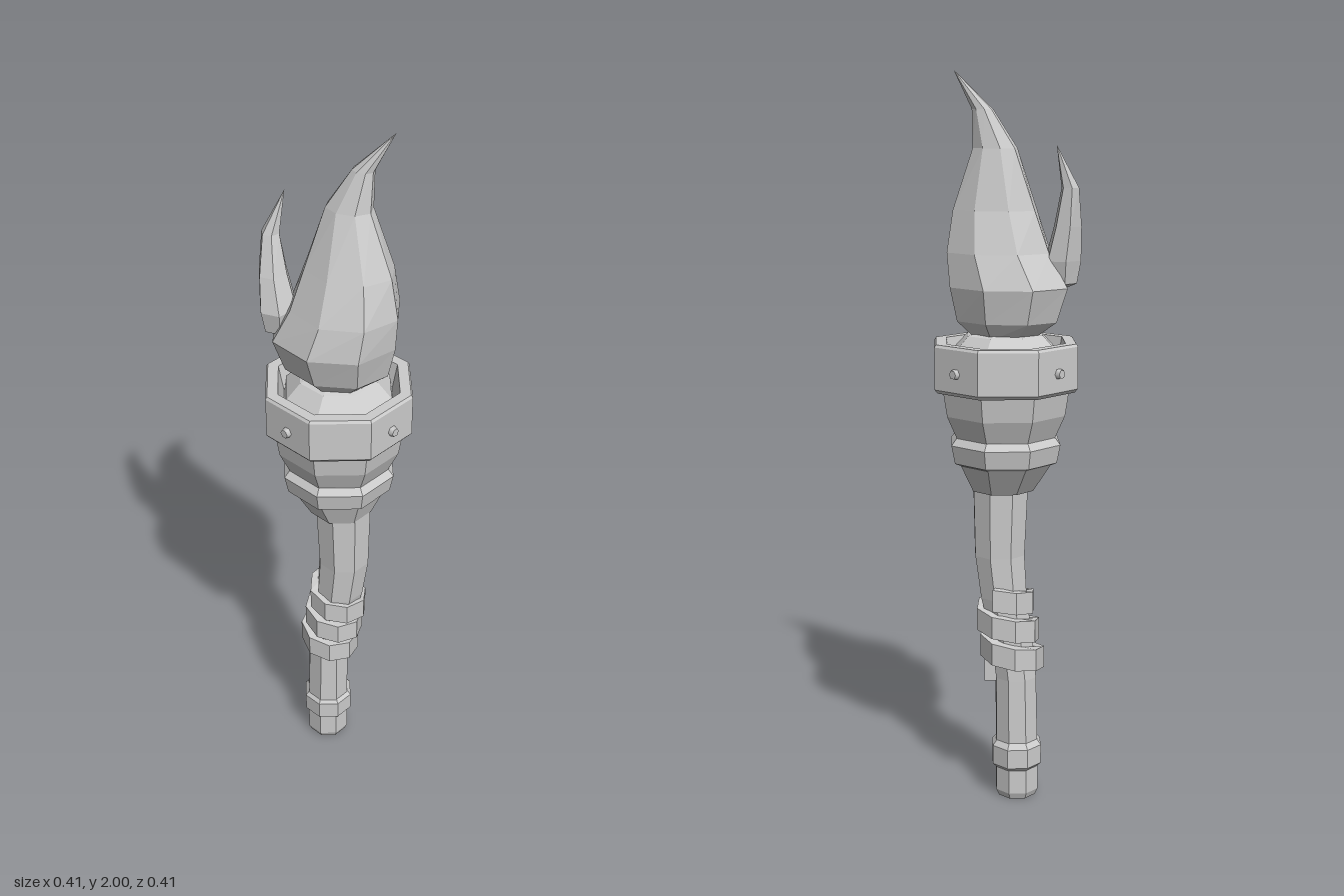
import * as THREE from 'three';

// Skin a list of point rings; a ring whose points coincide closes an end.
function skin(rings) {
  const pos = [];
  const tri = (a, b, c) => {
    const n = b.clone().sub(a).cross(c.clone().sub(a));
    if (n.lengthSq() > 1e-16) for (const p of [a, b, c]) pos.push(p.x, p.y, p.z);
  };
  for (let i = 0; i + 1 < rings.length; i++) {
    const lo = rings[i], hi = rings[i + 1], n = lo.length;
    for (let j = 0; j < n; j++) {
      const k = (j + 1) % n;
      tri(lo[j], hi[j], lo[k]);
      tri(hi[j], hi[k], lo[k]);
    }
  }
  const g = new THREE.BufferGeometry();
  g.setAttribute('position', new THREE.Float32BufferAttribute(pos, 3));
  g.computeVertexNormals();
  return g;
}

// Sections from bottom to top: [y, radiusX, centreX, centreZ, radiusZ, turn]
function loft(sections, sides = 8) {
  return skin(sections.map(([y, rx, cx = 0, cz = 0, rz = rx, turn = 0]) =>
    Array.from({ length: sides }, (_, j) => {
      const a = (j / sides) * Math.PI * 2 + turn;
      return new THREE.Vector3(cx + rx * Math.cos(a), y, cz + rz * Math.sin(a));
    })));
}

// Flat strap wound downwards around the grip
function strapGeometry() {
  const rings = [], turns = 2.8, steps = 23, half = 0.031;
  for (let i = 0; i <= steps; i++) {
    const t = i / steps, a = Math.PI + t * turns * Math.PI * 2;
    const y = 0.588 - t * turns * 0.08, cx = 0.008 - 0.036 * t, cz = 0.006;
    const at = (r, dy) => new THREE.Vector3(cx + r * Math.sin(a), y + dy, cz + r * Math.cos(a));
    const ring = [at(0.086, -half), at(0.086, half), at(0.05, half), at(0.05, -half)];
    const end = () => Array(4).fill(at(0.068, 0));
    if (i === 0) rings.push(end());
    rings.push(ring);
    if (i === steps) rings.push(end());
  }
  return skin(rings);
}

export function createModel() {
  const torch = new THREE.Group();
  torch.name = 'torch';
  const grey = new THREE.MeshStandardMaterial({ color: 0xcccccc });
  grey.name = 'grey';
  const add = (name, geometry) => {
    const m = new THREE.Mesh(geometry, grey);
    m.name = name;
    torch.add(m);
    return m;
  };

  // Bent octagonal grip
  add('handle', loft([
    [0, 0, -0.031, 0.01], [0, 0.055, -0.031, 0.01], [0.018, 0.063, -0.031, 0.01],
    [0.1, 0.063, -0.031, 0.01], [0.35, 0.06, -0.028, 0.01], [0.47, 0.062, -0.014, 0.01],
    [0.58, 0.068, 0.008, 0.01], [0.7, 0.073, 0.02, 0.01], [0.9, 0.08, 0.018, 0.012],
    [0.9, 0, 0.018, 0.012],
  ]));

  // Collar near the foot
  add('footCollar', loft([
    [0.085, 0.06, -0.031, 0.008], [0.098, 0.073, -0.031, 0.008],
    [0.152, 0.073, -0.031, 0.008], [0.17, 0.058, -0.031, 0.008],
  ]));

  add('gripStrap', strapGeometry());

  // Cup with a hollow top
  add('cup', loft([
    [0.885, 0, 0.01, 0.008], [0.885, 0.088, 0.01, 0.008], [0.965, 0.132],
    [1.04, 0.143], [1.1, 0.17], [1.175, 0.182], [1.175, 0],
  ]));
  add('cupBand', loft([
    [0.962, 0.13], [0.97, 0.148], [1.02, 0.158], [1.04, 0.142],
  ]));
  add('rim', loft([
    [1.165, 0.175], [1.165, 0.196], [1.175, 0.205], [1.288, 0.205], [1.295, 0.2],
    [1.295, 0.17], [1.22, 0.155], [1.22, 0],
  ]));

  // Rivets on every other face of the rim
  for (let i = 0; i < 4; i++) {
    const a = Math.PI / 8 + i * Math.PI / 2;
    const g = new THREE.CylinderGeometry(0.012, 0.016, 0.02, 6);
    g.rotateZ(-Math.PI / 2);
    const rivet = add('rivet', g);
    rivet.position.set(0.192 * Math.cos(a), 1.225, 0.192 * Math.sin(a));
    rivet.rotation.y = -a;
  }

  // Bed under the fire
  add('emberBed', loft([
    [1.215, 0.155], [1.27, 0.148], [1.312, 0.108], [1.325, 0.06], [1.325, 0],
  ]));

  // Main flame, leaning towards +x at its tip
  add('mainFlame', loft([
    [1.305, 0, 0, 0], [1.305, 0.085, 0, 0, 0.085, 0.1], [1.35, 0.145, -0.003, 0.005, 0.122, 0.1],
    [1.44, 0.17, -0.007, 0.01, 0.148, 0.1], [1.53, 0.148, 0.022, 0.012, 0.128, 0.14],
    [1.64, 0.12, 0.032, 0.01, 0.092, 0.2], [1.8, 0.062, 0.028, 0, 0.045, 0.3],
    [1.9, 0.029, 0.06, -0.008, 0.022, 0.35], [2, 0, 0.135, -0.022],
  ]));

  // Small side flame
  add('sideFlame', loft([
    [1.43, 0, -0.14, 0.04], [1.45, 0.04, -0.147, 0.04, 0.047],
    [1.51, 0.05, -0.148, 0.04, 0.06], [1.6, 0.038, -0.164, 0.03, 0.046],
    [1.7, 0.024, -0.175, 0.014, 0.025], [1.81, 0, -0.145, -0.01],
  ], 6));

  return torch;
}
